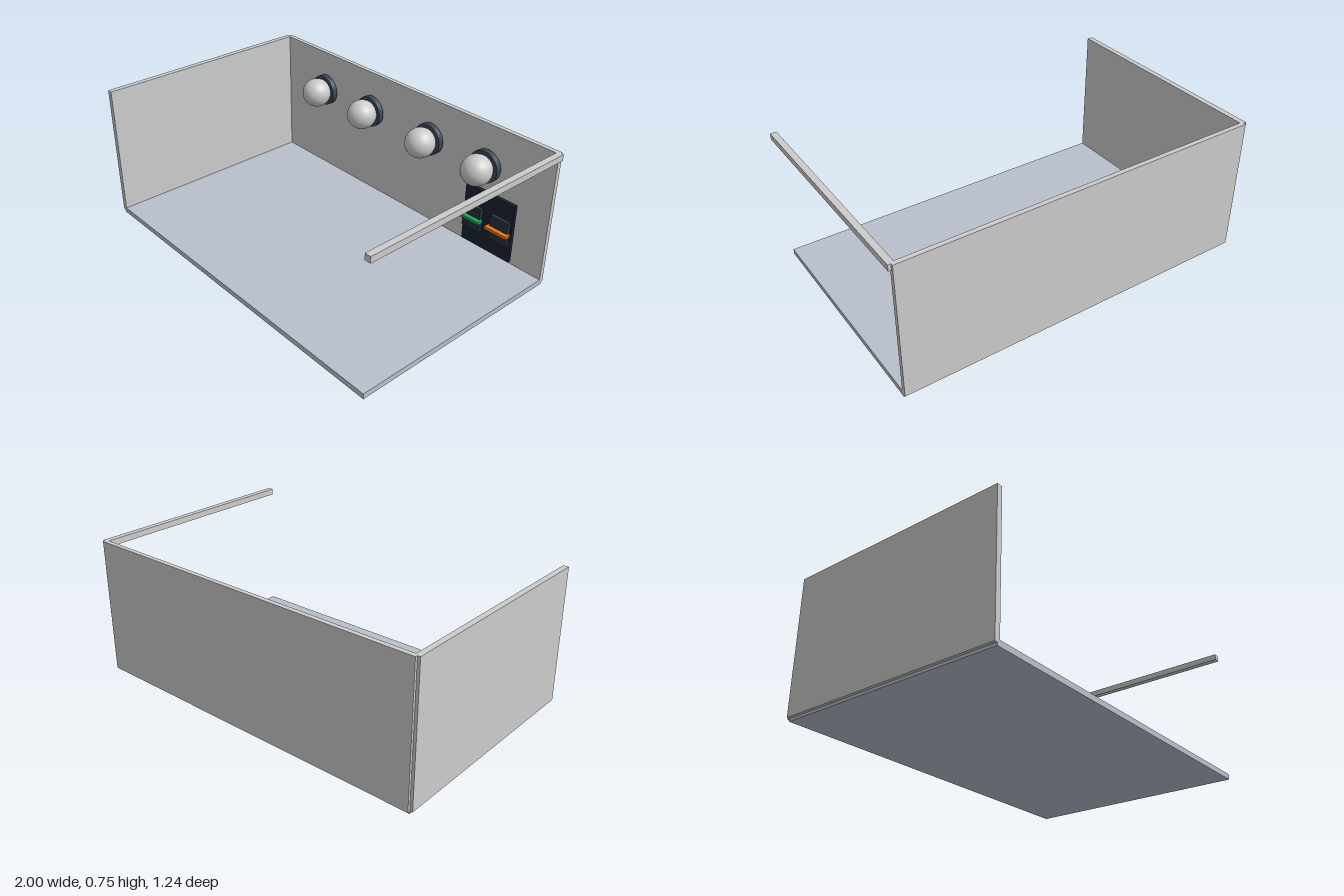
import * as THREE from 'three';

const paint = (color) => new THREE.MeshStandardMaterial({ color });

export function createModel() {
  const room = new THREE.Group();
  room.name = 'room';

  const wallPaint = paint(0xcccccc);
  const floorPaint = paint(0xb8c0cc);
  const bulbPaint = paint(0xe8e8e8);
  const mountPaint = paint(0x3a4656);
  const panelPaint = paint(0x1a2030);
  const switchPaint = paint(0x27303b);

  // Box given by its extents along each axis
  function box(name, [x0, x1], [y0, y1], [z0, z1], material, parent = room) {
    const mesh = new THREE.Mesh(new THREE.BoxGeometry(x1 - x0, y1 - y0, z1 - z0), material);
    mesh.position.set((x0 + x1) / 2, (y0 + y1) / 2, (z0 + z1) / 2);
    mesh.name = name;
    parent.add(mesh);
    return mesh;
  }

  // Room shell: floor, two walls and a top rail on the open side
  box('floor', [-0.985, 0.985], [0, 0.03], [-0.607, 0.62], floorPaint);
  box('backWall', [-0.985, 0.985], [0.012, 0.75], [-0.62, -0.595], wallPaint);
  box('sideWall', [-1, -0.97], [0.015, 0.75], [-0.607, 0.62], wallPaint);
  box('topRail', [0.967, 1], [0.717, 0.75], [-0.607, 0.62], wallPaint);

  // Round wall lamps
  const bulbGeometry = new THREE.SphereGeometry(0.082, 32, 24);
  const mountGeometry = new THREE.CylinderGeometry(0.088, 0.088, 0.03, 32).rotateX(Math.PI / 2);
  for (const x of [-0.607, -0.225, 0.218, 0.6]) {
    const lamp = new THREE.Group();
    lamp.name = 'wallLamp';
    lamp.position.set(x, 0.537, -0.495);
    const bulb = new THREE.Mesh(bulbGeometry, bulbPaint);
    bulb.name = 'bulb';
    const mount = new THREE.Mesh(mountGeometry, mountPaint);
    mount.name = 'lampMount';
    mount.position.z = -0.065;
    lamp.add(bulb, mount);
    room.add(lamp);
  }

  // Control panel with two switch plates and coloured levers
  const panel = new THREE.Group();
  panel.name = 'controlPanel';
  room.add(panel);
  box('panelBoard', [0.535, 0.842], [0.1, 0.43], [-0.53, -0.51], panelPaint, panel);
  for (const [x, color, name] of [[0.601, 0x22a85a, 'greenLever'], [0.774, 0xe8741a, 'orangeLever']]) {
    box('switchPlate', [x - 0.055, x + 0.055], [0.197, 0.333], [-0.51, -0.488], switchPaint, panel);
    box(name, [x - 0.067, x + 0.067], [0.257, 0.273], [-0.5, -0.463], paint(color), panel);
  }

  return room;
}
